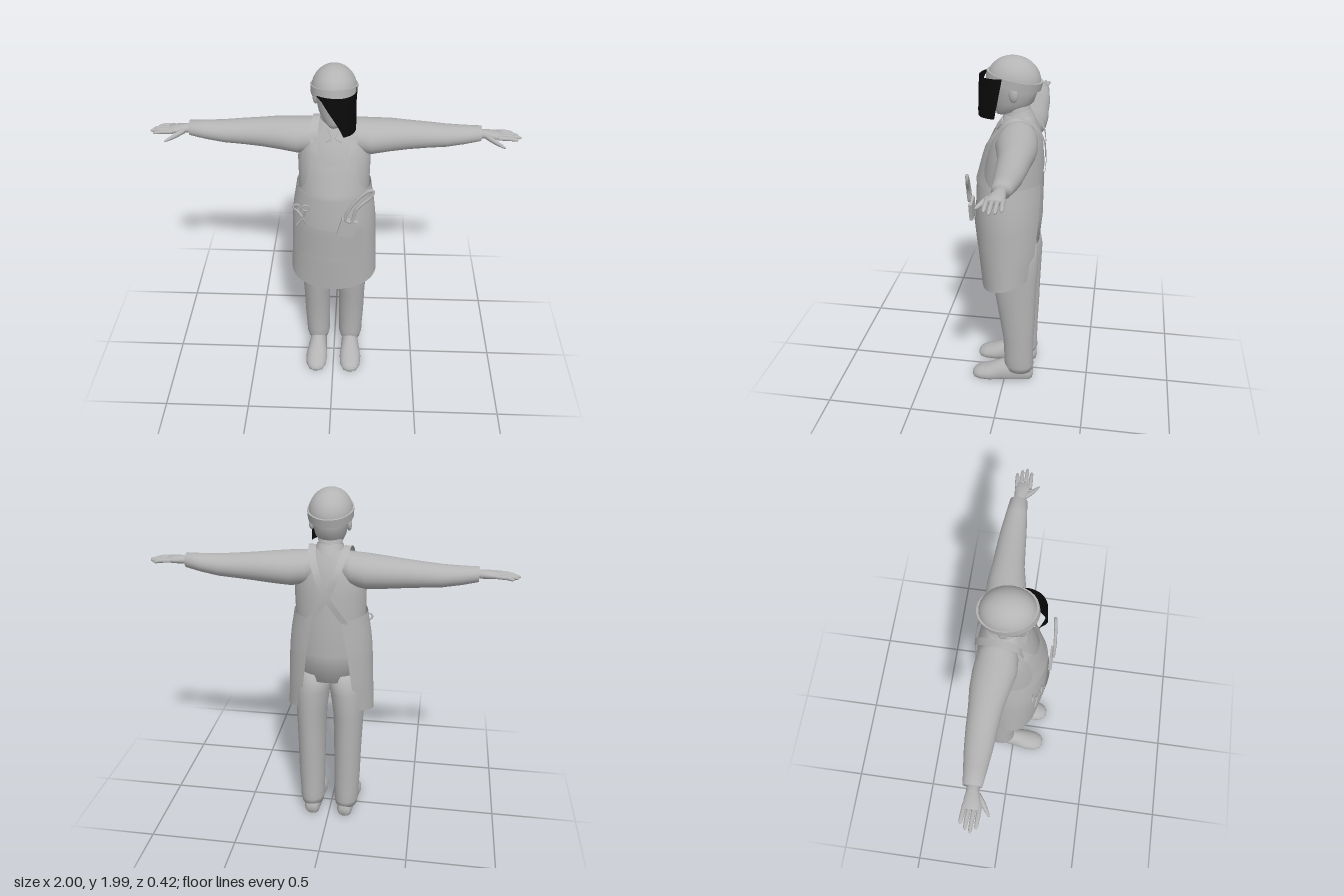
import * as THREE from 'three';

const cloth = new THREE.MeshStandardMaterial({ color: 0xb4b4b4, side: THREE.DoubleSide });
cloth.name = 'plain grey';
const dark = new THREE.MeshStandardMaterial({ color: 0x0a0a0a, side: THREE.DoubleSide });
dark.name = 'visor black';

const V = (x, y, z) => new THREE.Vector3(x, y, z);
const lerp = THREE.MathUtils.lerp;

// Sheet through f(u, v) => [x, y, z]; faces look along du x dv
function grid(f, nu, nv, wrap = false) {
  const pos = [], idx = [], cols = wrap ? nu : nu + 1;
  for (let j = 0; j <= nv; j++)
    for (let i = 0; i < cols; i++) pos.push(...f(i / nu, j / nv));
  for (let j = 0; j < nv; j++)
    for (let i = 0; i < nu; i++) {
      const k = (i + 1) % cols, a = j * cols + i, b = j * cols + k;
      idx.push(a, b, b + cols, a, b + cols, a + cols);
    }
  const g = new THREE.BufferGeometry();
  g.setAttribute('position', new THREE.Float32BufferAttribute(pos, 3));
  g.setIndex(idx);
  g.computeVertexNormals();
  return g;
}

// Closed body from elliptical rings [position, centreA, centreB, radiusA, radiusB] along an axis
function loft(rows, axis, floor = -9) {
  const first = rows[0], last = rows[rows.length - 1];
  const all = [[...first.slice(0, 3), 0, 0], ...rows, [...last.slice(0, 3), 0, 0]];
  const n = all.length - 1;
  return grid((u, v) => {
    const [p, a, b, ra, rb] = all[Math.round(v * n)];
    const c = Math.cos(u * Math.PI * 2), s = Math.sin(u * Math.PI * 2);
    if (axis === 'y') return [a + ra * c, p, b - rb * s];
    if (axis === 'x') return [p, a + ra * c, b + rb * s];
    return [a + ra * c, Math.max(floor, b + rb * s), p];
  }, 24, n, true);
}

// Linear lookup in rows keyed by their first value
function look(rows, y) {
  if (y <= rows[0][0]) return rows[0];
  for (let i = 1; i < rows.length; i++)
    if (y <= rows[i][0]) {
      const t = (y - rows[i - 1][0]) / (rows[i][0] - rows[i - 1][0]);
      return rows[i].map((e, k) => lerp(rows[i - 1][k], e, t));
    }
  return rows[rows.length - 1];
}

function add(parent, name, geometry, material = cloth) {
  const m = new THREE.Mesh(geometry, material);
  m.name = name;
  parent.add(m);
  return m;
}

const tube = (pts, r, closed = false, n = 16) =>
  new THREE.TubeGeometry(new THREE.CatmullRomCurve3(pts.map(p => V(...p)), closed), n, r, 7, closed);

// Apron outline: height, centre z, half width, half depth
const apronRows = [
  [0.65, -0.018, 0.252, 0.163], [0.9, -0.02, 0.243, 0.19], [1.1, -0.018, 0.235, 0.197],
  [1.2, -0.019, 0.224, 0.194], [1.31, -0.02, 0.205, 0.19], [1.45, -0.035, 0.205, 0.167],
  [1.55, -0.048, 0.195, 0.148], [1.62, -0.058, 0.162, 0.122],
];
function apronPoint(angle, y, out = 0) {
  const [, cz, rx, rz] = look(apronRows, y);
  return [(rx + out) * Math.sin(angle), y, cz + (rz + out) * Math.cos(angle)];
}

function buildArm() {
  const arm = new THREE.Group();
  add(arm, 'sleeve', loft([
    [0.04, 1.6, -0.07, 0.078, 0.08], [0.12, 1.575, -0.075, 0.09, 0.105],
    [0.2, 1.565, -0.078, 0.095, 0.112], [0.3, 1.567, -0.09, 0.087, 0.1],
    [0.4, 1.567, -0.095, 0.077, 0.085], [0.5, 1.567, -0.097, 0.068, 0.078],
    [0.6, 1.566, -0.097, 0.06, 0.07], [0.7, 1.573, -0.096, 0.05, 0.058],
    [0.785, 1.583, -0.095, 0.04, 0.047],
  ], 'x'));
  add(arm, 'palm', loft([
    [0.76, 1.583, -0.092, 0.024, 0.03], [0.81, 1.583, -0.09, 0.023, 0.031],
    [0.85, 1.582, -0.086, 0.021, 0.04], [0.895, 1.58, -0.083, 0.016, 0.042],
  ], 'x'));
  for (const [i, tip] of [0.965, 0.988, 1, 0.98].entries()) {
    const z = -0.118 + i * 0.024;
    add(arm, 'finger', loft([
      [0.87, 1.581, z, 0.011, 0.011], [0.93, 1.579, z * 1.04, 0.011, 0.011],
      [tip - 0.012, 1.573, z * 1.06, 0.009, 0.009], [tip, 1.571, z * 1.06, 0.004, 0.004],
    ], 'x'));
  }
  add(arm, 'thumb', loft([
    [0.81, 1.577, -0.07, 0.014, 0.016], [0.85, 1.567, -0.04, 0.015, 0.017],
    [0.89, 1.555, -0.012, 0.01, 0.011], [0.91, 1.549, 0, 0.005, 0.005],
  ], 'x'));
  return arm;
}

function buildLeg() {
  const leg = new THREE.Group();
  add(leg, 'trouserLeg', loft([
    [0.07, 0.103, -0.09, 0.065, 0.078], [0.11, 0.103, -0.087, 0.073, 0.09],
    [0.16, 0.104, -0.085, 0.073, 0.088], [0.3, 0.106, -0.083, 0.078, 0.092],
    [0.45, 0.107, -0.075, 0.08, 0.106], [0.58, 0.108, -0.066, 0.084, 0.118],
    [0.7, 0.108, -0.06, 0.089, 0.128], [0.85, 0.1, -0.06, 0.1, 0.134],
    [0.97, 0.085, -0.045, 0.1, 0.132],
  ], 'y'));
  add(leg, 'shoe', loft([
    [-0.17, 0.1, 0.045, 0.03, 0.035], [-0.15, 0.1, 0.05, 0.045, 0.06],
    [-0.06, 0.1, 0.05, 0.05, 0.085], [0.02, 0.104, 0.045, 0.058, 0.075],
    [0.09, 0.107, 0.03, 0.067, 0.055], [0.15, 0.108, 0.022, 0.062, 0.043],
    [0.185, 0.108, 0.016, 0.045, 0.032], [0.2, 0.108, 0.014, 0.02, 0.014],
  ], 'z', 0));
  return leg;
}

function buildHead() {
  const head = new THREE.Group();
  head.name = 'head';
  add(head, 'neck', loft([[1.58, 0, -0.06, 0.075, 0.075], [1.66, 0, -0.056, 0.064, 0.067],
    [1.76, 0, -0.055, 0.064, 0.068]], 'y'));
  add(head, 'face', loft([
    [1.68, 0, 0.015, 0.03, 0.045], [1.705, 0, -0.01, 0.06, 0.075], [1.75, 0, -0.033, 0.082, 0.107],
    [1.81, 0, -0.04, 0.094, 0.12], [1.88, 0, -0.04, 0.1, 0.125], [1.93, 0, -0.04, 0.085, 0.105],
  ], 'y'));
  add(head, 'nose', loft([[1.765, 0, 0.08, 0.018, 0.023], [1.785, 0, 0.078, 0.016, 0.026],
    [1.84, 0, 0.07, 0.009, 0.014]], 'y'));
  for (const s of [-1, 1]) {
    const ear = add(head, 'ear', new THREE.SphereGeometry(1, 12, 8));
    ear.scale.set(0.015, 0.04, 0.027);
    ear.position.set(s * 0.098, 1.81, -0.045);
    ear.rotation.y = s * -0.35;
  }
  // Tilted cap with its head band
  const cap = new THREE.Group();
  cap.name = 'cap';
  cap.position.set(0, 1.866, -0.035);
  cap.rotation.x = -0.2;
  add(cap, 'crown', new THREE.SphereGeometry(1, 28, 12, 0, Math.PI * 2, 0, Math.PI / 2)).scale.set(0.118, 0.125, 0.143);
  add(cap, 'headBand', new THREE.CylinderGeometry(1, 0.98, 0.046, 28)).scale.set(0.123, 1, 0.152);
  head.add(cap);
  // Curved visor, cut away towards its lower right corner
  const edge = new THREE.CatmullRomCurve3([V(-0.085, 0, 0.115), V(-0.03, 0, 0.14), V(0.04, 0, 0.145),
    V(0.09, 0, 0.115), V(0.115, 0, 0.06), V(0.115, 0, 0.012)]);
  add(head, 'visor', grid((u, v) => {
    const p = edge.getPoint(lerp(0.45 * (1 - v) ** 0.7, 1 - 0.14 * (1 - v), u));
    return [p.x, lerp(1.68, 1.895, v), p.z + 0.008 * (1 - v)];
  }, 20, 8), dark);
  return head;
}

function buildApron() {
  const apron = new THREE.Group();
  apron.name = 'apron';
  // Skirt, open at the back, with the hem rising behind
  add(apron, 'apronSkirt', grid((u, v) => {
    const a = (u * 2 - 1) * lerp(2.45, 2.75, v);
    return apronPoint(a, lerp(0.65 + 0.055 * (1 - Math.cos(a)), 1.315, v));
  }, 48, 14));
  // Bib with curved sides and a round neckline
  const sides = [[1.3, 0.2], [1.33, 0.17], [1.38, 0.14], [1.45, 0.128], [1.62, 0.118]];
  add(apron, 'apronBib', grid((u, v) => {
    const s = u * 2 - 1;
    const y = lerp(1.3, 1.49 + 0.13 * Math.min(1, Math.abs(s) / 0.75) ** 4, v);
    const [, cz, rx, rz] = look(apronRows, y), x = s * look(sides, y)[1];
    return [x, y, cz + rz * Math.sqrt(1 - (x / rx) ** 2) + 0.003];
  }, 32, 14));
  // Straps crossing on the back
  for (const s of [-1, 1]) {
    const path = new THREE.CatmullRomCurve3([V(0.104, 1.59, 0.055), V(0.102, 1.65, 0.025), V(0.095, 1.69, -0.05),
      V(0.085, 1.66, -0.135), V(0.055, 1.58, -0.195), V(0, 1.45, -0.21 - s * 0.003), V(-0.1, 1.3, -0.197)]);
    add(apron, 'shoulderStrap', grid((u, v) => {
      const p = path.getPoint(v);
      return [s * p.x + (u - 0.5) * 0.04, p.y, p.z];
    }, 2, 32));
  }
  add(apron, 'pocket', grid((u, v) => {
    const a = lerp(-1.02, 0.75, u), rise = Math.max(0, -a - 0.15) / 0.87;
    return apronPoint(a, lerp(0.91, 1.11 + 0.07 * rise * rise, v), 0.002 + 0.01 * v);
  }, 24, 6));
  return apron;
}

function buildTools() {
  const tools = new THREE.Group();
  tools.name = 'tools';
  add(tools, 'pruner handles', tube([[0.07, 1.2, 0.2], [0.1, 1.29, 0.2], [0.19, 1.385, 0.19],
    [0.215, 1.385, 0.185], [0.205, 1.35, 0.187], [0.13, 1.275, 0.2], [0.1, 1.19, 0.2]], 0.009, true, 40));
  const blade = add(tools, 'pruner blade', new THREE.BoxGeometry(0.09, 0.11, 0.02));
  blade.position.set(0.08, 1.14, 0.19);
  blade.rotation.z = -0.25;
  for (const [x, y, z] of [[-0.2, 1.222, 0.12], [-0.147, 1.245, 0.16]]) {
    add(tools, 'scissor ring', new THREE.TorusGeometry(0.018, 0.005, 6, 18)).position.set(x, y, z);
    add(tools, 'scissor shank', tube([[x, y - 0.018, z], [-0.165, 1.17, 0.145], [-0.35 - x, 1.11, 0.135]], 0.006));
  }
  return tools;
}

export function createModel() {
  const model = new THREE.Group();
  model.name = 'worker';
  add(model, 'shirt', loft([
    [0.93, 0, -0.035, 0.18, 0.15], [1.1, 0, -0.03, 0.2, 0.172], [1.3, 0, -0.03, 0.195, 0.172],
    [1.45, 0, -0.045, 0.198, 0.155], [1.55, 0, -0.055, 0.186, 0.135], [1.62, 0, -0.062, 0.148, 0.105],
    [1.67, 0, -0.062, 0.09, 0.083], [1.69, 0, -0.06, 0.07, 0.073],
  ], 'y'));
  // Collar and its two points
  const collar = add(model, 'collar', new THREE.CylinderGeometry(0.07, 0.088, 0.055, 24, 1, true));
  collar.position.set(0, 1.675, -0.058);
  collar.rotation.x = 0.2;
  for (const side of [1, -1]) {
    const point = add(model, 'collarPoint', new THREE.BoxGeometry(0.04, 0.065, 0.008));
    point.position.set(side * 0.038, 1.628, 0.038);
    point.rotation.set(-0.5, side * 0.3, side * -0.45);
    for (const [name, limb] of [['arm', buildArm()], ['leg', buildLeg()]]) {
      limb.name = (side > 0 ? 'left ' : 'right ') + name;
      limb.scale.x = side;
      model.add(limb);
    }
  }
  model.add(buildHead(), buildApron(), buildTools());
  return model;
}
